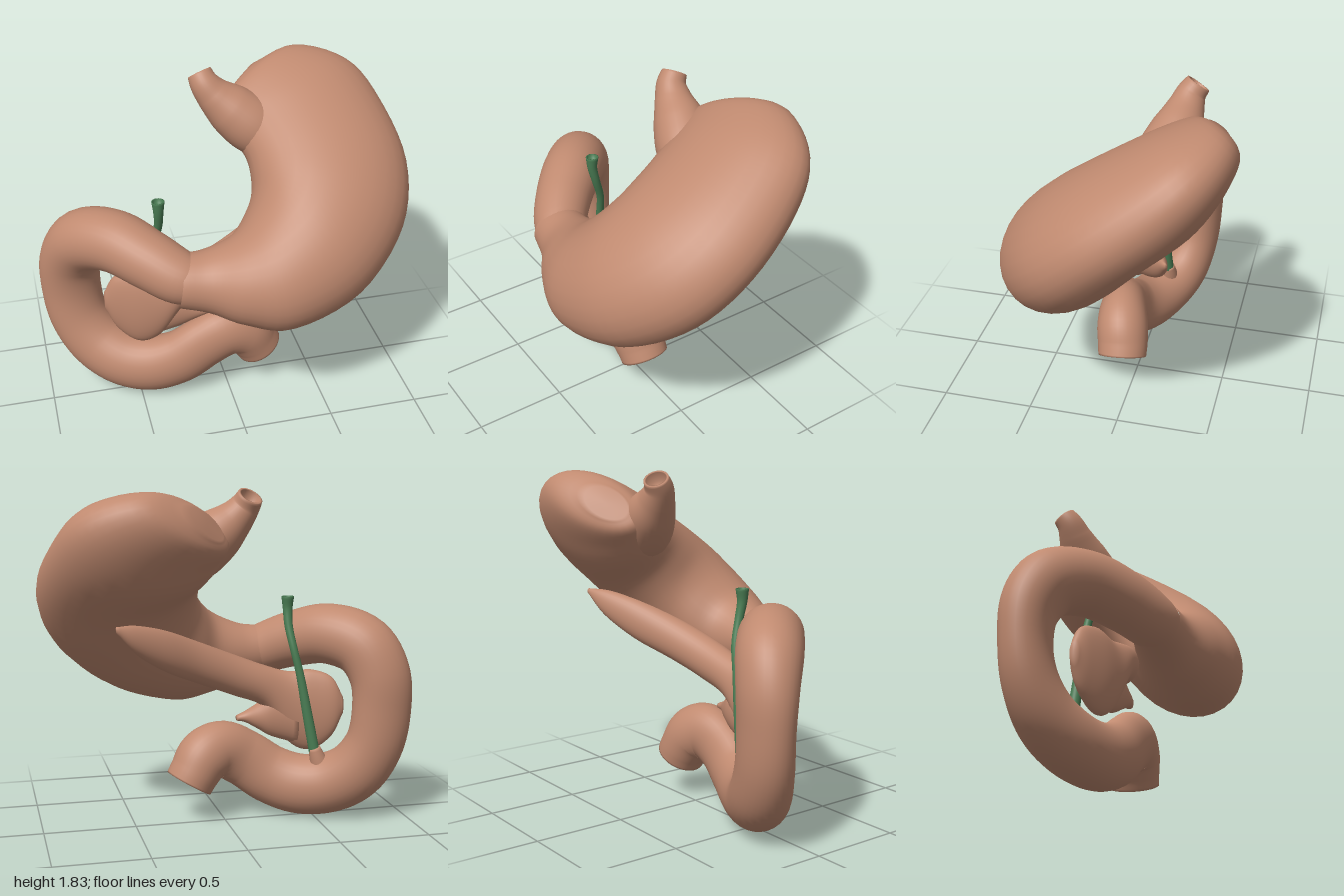
import * as THREE from 'three';

const V = (x, y, z) => new THREE.Vector3(x, y, z);
const SIDES = 32;

// Skin a list of elliptical rings { c, A, B } into one smooth surface
function skin(rings, material, name) {
  const first = rings[0], next = rings[2];
  const flip = first.A.clone().cross(first.B).dot(next.c.clone().sub(first.c)) < 0 ? -1 : 1;
  const pos = [], index = [];
  rings.forEach(({ c, A, B }, i) => {
    for (let j = 0; j < SIDES; j++) {
      const t = (j / SIDES) * Math.PI * 2;
      const p = c.clone().addScaledVector(A, Math.cos(t)).addScaledVector(B, flip * Math.sin(t));
      pos.push(p.x, p.y, p.z);
      if (i === rings.length - 1) continue;
      const a = i * SIDES + j, b = i * SIDES + (j + 1) % SIDES;
      index.push(a, b, a + SIDES, b, b + SIDES, a + SIDES);
    }
  });
  const g = new THREE.BufferGeometry();
  g.setAttribute('position', new THREE.Float32BufferAttribute(pos, 3));
  g.setIndex(index);
  g.computeVertexNormals();
  const mesh = new THREE.Mesh(g, material);
  mesh.name = name;
  return mesh;
}

const scaled = (r, s) => ({ c: r.c, A: r.A.clone().multiplyScalar(s), B: r.B.clone().multiplyScalar(s) });

// Smoothly interpolate key rings; optionally close either end to a point
function loft(keys, steps, closeStart, closeEnd) {
  const curve = (k) => new THREE.CatmullRomCurve3(keys.map((r) => r[k]), false, 'catmullrom', 0.5);
  const [c, A, B] = ['c', 'A', 'B'].map(curve);
  const rings = [];
  for (let i = 0; i <= steps; i++) {
    const t = i / steps;
    rings.push({ c: c.getPoint(t), A: A.getPoint(t), B: B.getPoint(t) });
  }
  if (closeStart) rings.unshift(scaled(rings[0], 0));
  if (closeEnd) rings.push(scaled(rings[rings.length - 1], 0));
  return rings;
}

// Tube through [x, y, z, radius, depth factor] points, the factor flattening it in z;
// a hollow end gets a lip and inner wall
function tube(points, steps, { hollow = 0, close = false } = {}) {
  const path = new THREE.CatmullRomCurve3(points.map((p) => V(p[0], p[1], p[2])));
  const size = new THREE.CatmullRomCurve3(points.map((p, i) => V(p[3], p[4] ?? 1, i)), false, 'catmullrom', 0.5);
  const rings = [];
  let A = V(0.31, 0.9, 0.29);
  for (let i = 0; i <= steps; i++) {
    const t = i / steps, T = path.getTangent(t), { x: r, y: flat } = size.getPoint(t);
    A = A.clone().addScaledVector(T, -A.dot(T)).normalize();
    const ring = scaled({ c: path.getPoint(t), A, B: T.clone().cross(A) }, r);
    ring.A.z *= flat;
    ring.B.z *= flat;
    rings.push(ring);
  }
  const end = rings[steps];
  if (hollow) {
    const deep = rings[steps - hollow];
    const inner = end.A.length() / deep.A.length() * 0.72;
    rings.push(scaled(end, 0.9), scaled(end, 0.8), scaled(deep, inner), scaled(deep, 0));
  } else if (close) rings.push(scaled(end, 0));
  return rings;
}

export function createModel() {
  const flesh = new THREE.MeshStandardMaterial({ color: 0xc08a70 });
  flesh.name = 'flesh';
  const green = new THREE.MeshStandardMaterial({ color: 0x4a7d54 });
  green.name = 'bileGreen';
  const model = new THREE.Group();
  model.name = 'digestiveOrgans';

  // Stomach: slices across a plane that leans back, each from inner curve (u, v)
  // to outer curve (u, v), then half thickness and offset along the plane normal
  const up = V(0, 0.69, -0.73), normal = V(0, 0.73, 0.69);
  const slices = [
    [-0.27, -0.31, -0.33, -0.59, 0.135, -0.05],
    [-0.15, -0.30, -0.17, -0.64, 0.16, -0.05],
    [0.00, -0.25, 0.00, -0.73, 0.22, -0.03],
    [0.09, -0.15, 0.25, -0.79, 0.28, -0.01],
    [0.14, -0.05, 0.62, -0.66, 0.31, 0.03],
    [0.15, 0.05, 0.90, -0.36, 0.30, 0.055],
    [0.14, 0.15, 1.00, 0.00, 0.275, 0.055],
    [0.10, 0.27, 0.94, 0.38, 0.255, 0.02],
    [0.07, 0.37, 0.81, 0.63, 0.21, 0.01],
    [0.06, 0.45, 0.54, 0.755, 0.15, 0],
    [0.10, 0.51, 0.29, 0.68, 0.08, 0],
  ];
  const stomachKeys = slices.map(([u0, v0, u1, v1, b, w]) => {
    const at = (u, v) => V(u, 1.25, 0).addScaledVector(up, v).addScaledVector(normal, w);
    const p = at(u0, v0), q = at(u1, v1);
    return {
      c: p.clone().add(q).multiplyScalar(0.5),
      A: q.clone().sub(p).multiplyScalar(0.5),
      B: normal.clone().multiplyScalar(b),
    };
  });
  model.add(skin(loft(stomachKeys, 50, false, true), flesh, 'stomach'));

  // Gullet stub flowing out of the stomach, open at the top
  model.add(skin(tube([
    [0.36, 1.39, -0.12, 0.11], [0.21, 1.50, -0.185, 0.15], [0.09, 1.60, -0.225, 0.135],
    [0.005, 1.68, -0.245, 0.098], [-0.04, 1.74, -0.263, 0.078], [-0.06, 1.79, -0.295, 0.066],
  ], 30, { hollow: 5 }), flesh, 'gullet'));

  // Duodenum: C-shaped loop tucked into the stomach outlet, with an open cut end
  model.add(skin(tube([
    [-0.20, 0.895, 0.31, 0.12], [-0.30, 0.915, 0.28, 0.143], [-0.44, 0.975, 0.175, 0.157],
    [-0.60, 1.02, 0.02, 0.168], [-0.75, 0.965, -0.12, 0.172, 0.95], [-0.82, 0.82, -0.19, 0.168, 0.85],
    [-0.83, 0.63, -0.205, 0.165, 0.77], [-0.80, 0.43, -0.185, 0.165, 0.8], [-0.71, 0.27, -0.13, 0.17, 0.86],
    [-0.58, 0.185, -0.05, 0.17, 0.9], [-0.43, 0.17, 0.02, 0.17, 0.85], [-0.28, 0.22, 0.07, 0.165, 0.78],
    [-0.13, 0.32, 0.09, 0.16, 0.74], [0.00, 0.38, 0.085, 0.16, 0.82], [0.10, 0.35, 0.065, 0.155, 0.92],
    [0.16, 0.27, 0.05, 0.14], [0.195, 0.21, 0.045, 0.135],
  ], 100, { hollow: 7 }), flesh, 'duodenum'));

  // Pancreas: upright oval slices [x, y, z, half height, half depth]
  const ovals = (list) => list.map(([x, y, z, a, b]) => ({ c: V(x, y, z), A: V(0, a, 0), B: V(0, 0, b) }));
  model.add(skin(loft(ovals([
    [-0.67, 0.62, -0.02, 0.05, 0.02], [-0.61, 0.61, 0.00, 0.17, 0.05], [-0.50, 0.59, 0.04, 0.23, 0.07],
    [-0.38, 0.61, 0.065, 0.20, 0.08], [-0.24, 0.73, 0.075, 0.12, 0.09], [-0.05, 0.81, 0.05, 0.115, 0.095],
    [0.15, 0.895, -0.02, 0.115, 0.09], [0.35, 0.985, -0.13, 0.11, 0.075], [0.52, 1.065, -0.22, 0.075, 0.05],
    [0.63, 1.13, -0.28, 0.015, 0.012],
  ]), 48, true, true), flesh, 'pancreas'));
  model.add(skin(loft(ovals([
    [-0.42, 0.53, 0.05, 0.13, 0.065], [-0.28, 0.565, 0.065, 0.12, 0.065],
    [-0.21, 0.56, 0.08, 0.075, 0.055], [-0.14, 0.555, 0.10, 0.032, 0.035], [-0.09, 0.55, 0.10, 0.015, 0.02],
  ]), 20, true, true), flesh, 'pancreasHook'));

  // Bile duct with a flared top, entering a small nub on the bowel wall
  model.add(skin(tube([
    [-0.49, 0.38, -0.075, 0.03], [-0.45, 0.60, -0.06, 0.027], [-0.41, 0.82, -0.045, 0.022],
    [-0.38, 0.95, -0.03, 0.021], [-0.36, 1.08, 0.01, 0.023], [-0.36, 1.17, 0.03, 0.027],
    [-0.36, 1.235, 0.03, 0.035],
  ], 36, { hollow: 2 }), green, 'bileDuct'));
  model.add(skin(tube([
    [-0.53, 0.29, -0.07, 0.06], [-0.51, 0.34, -0.075, 0.045], [-0.49, 0.40, -0.075, 0.033],
  ], 8, { close: true }), flesh, 'ductNub'));

  return model;
}
